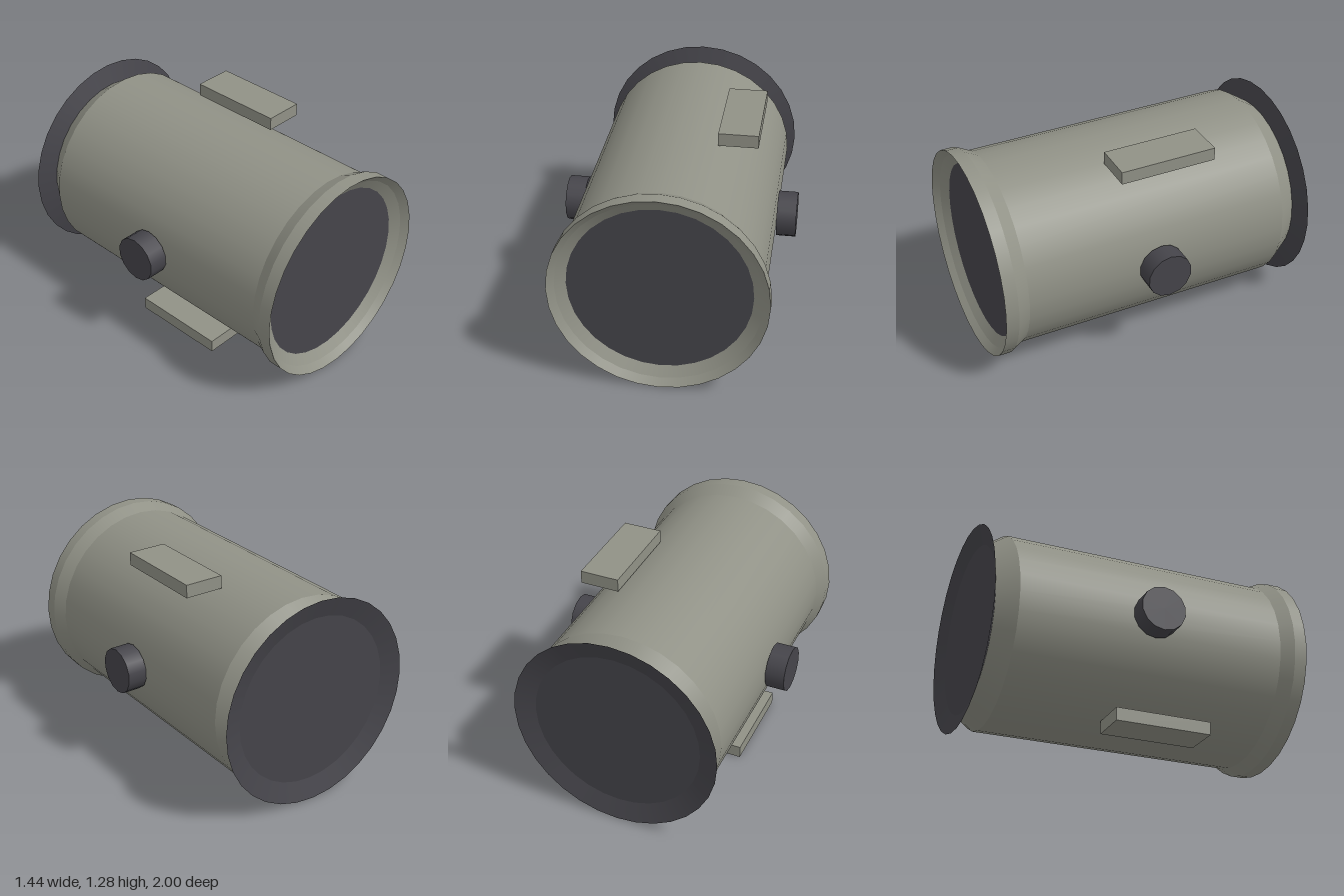
import * as THREE from 'three';

export function createModel() {
  const model = new THREE.Group();
  model.name = 'cylindricalModule';
  const hull = new THREE.MeshStandardMaterial({ color: 0x909186 });
  hull.name = 'grey green hull';
  // Double sided for the open rear flare
  const dark = new THREE.MeshStandardMaterial({ color: 0x45444a, side: THREE.DoubleSide });
  dark.name = 'dark metal';
  const CY = 0.64; // height of the long axis
  const SIDES = 32;

  function add(parent, name, geometry, material, x = 0, y = 0, z = 0) {
    const mesh = new THREE.Mesh(geometry, material);
    mesh.name = name;
    mesh.position.set(x, y, z);
    parent.add(mesh);
    return mesh;
  }

  // One conical band around the z axis, smooth around and sharp at its ends
  function band(parent, name, [r0, z0], [r1, z1], material) {
    const geometry = new THREE.LatheGeometry(
      [new THREE.Vector2(r0, z0), new THREE.Vector2(r1, z1)], SIDES);
    geometry.rotateX(Math.PI / 2);
    return add(parent, name, geometry, material, 0, CY, 0);
  }

  // Hull: tapered rear shoulder, barrel, front collar and its recessed lip
  const body = new THREE.Group();
  body.name = 'hull';
  model.add(body);
  const profile = [
    [0.52, -0.96], [0.6, -0.84], [0.6, 0.84], [0.64, 0.92],
    [0.64, 1], [0.6, 0.96], [0.54, 0.92],
  ];
  const names = ['rearShoulder', 'barrel', 'collarSlope', 'collar', 'outerLip', 'innerLip'];
  names.forEach((name, i) => band(body, name, profile[i], profile[i + 1], hull));

  // Dark end plates and the flared rear skirt
  add(model, 'frontPlate', new THREE.CircleGeometry(0.54, SIDES), dark, 0, CY, 0.92);
  add(model, 'rearPlate', new THREE.CircleGeometry(0.52, SIDES), dark, 0, CY, -0.96)
    .rotation.y = Math.PI;
  band(model, 'rearFlare', [0.64, -1], [0.52, -0.96], dark);

  // Side stubs and the two diagonally opposed pads
  for (const s of [1, -1]) {
    const side = s > 0 ? 'left' : 'right';
    const stub = new THREE.CylinderGeometry(0.14, 0.14, 0.12, 14);
    stub.rotateY(Math.PI / 2);
    stub.rotateZ(-s * Math.PI / 2);
    add(model, side + 'Stub', stub, dark, s * 0.66, CY, 0);
    add(model, s > 0 ? 'upperPad' : 'lowerPad', new THREE.BoxGeometry(0.24, 0.08, 0.6),
      hull, s * 0.36, CY + s * 0.6, -s * 0.1);
  }
  return model;
}
